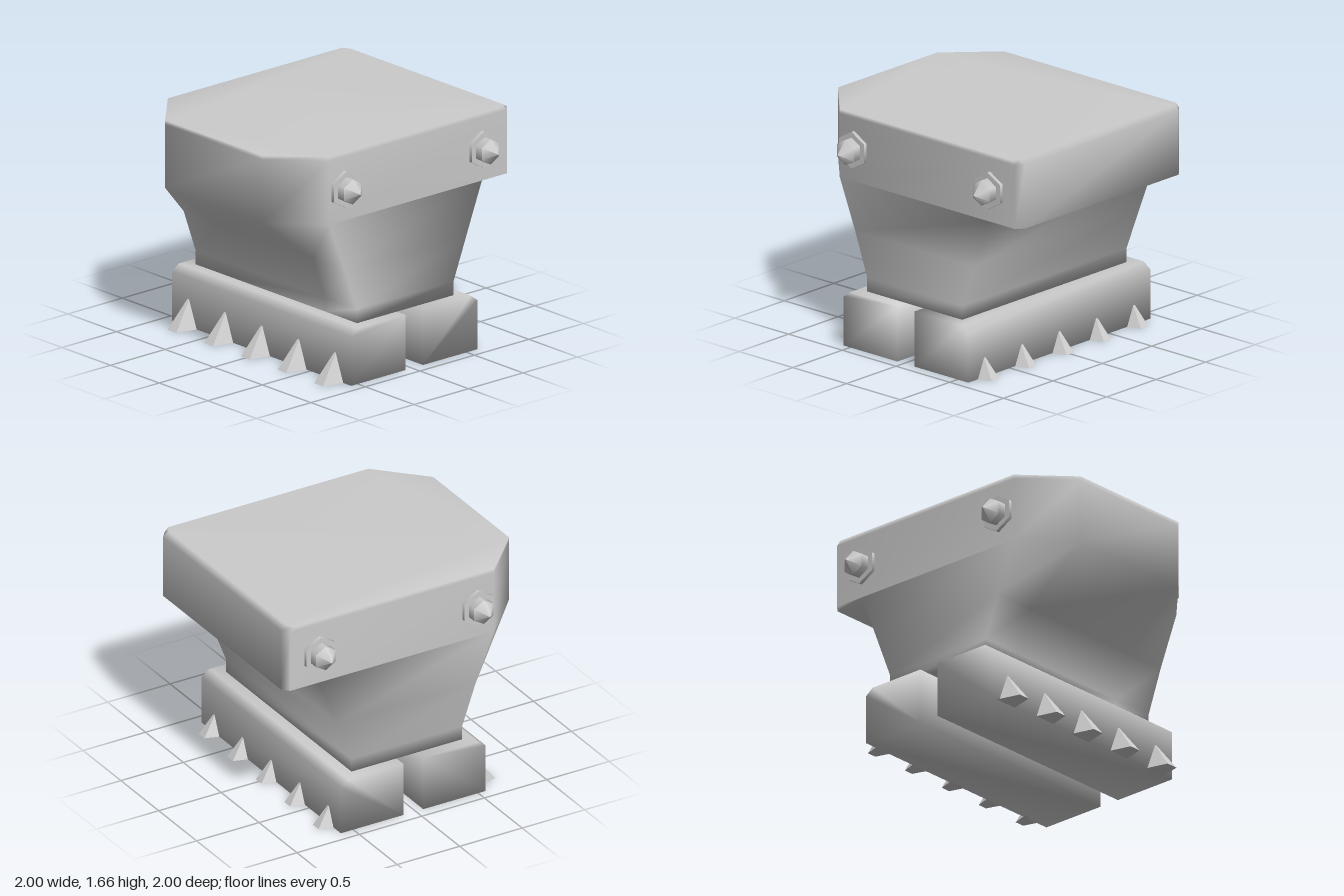
import * as THREE from 'three';
import { mergeVertices } from 'three/addons/utils/BufferGeometryUtils.js';
import { ConvexGeometry } from 'three/addons/geometries/ConvexGeometry.js';

const material = new THREE.MeshStandardMaterial({ color: 0xcccccc });

function addMesh(parent, name, geometry) {
  const mesh = new THREE.Mesh(geometry, material);
  mesh.name = name;
  parent.add(mesh);
  return mesh;
}

// share corners so that normals blend across the edges
function smooth(geometry) {
  geometry.deleteAttribute('normal');
  geometry.deleteAttribute('uv');
  const merged = mergeVertices(geometry, 1e-4);
  merged.computeVertexNormals();
  return merged;
}

// block lofted through eight-sided horizontal sections
function bodyGeometry() {
  // y, left x, left chamfer x, right chamfer x, right x
  const sections = [
    [0.4, -0.425, -0.425, 0.43, 0.46],
    [0.5, -0.425, -0.425, 0.43, 0.46],
    [0.81, -0.535, -0.535, 0.55, 0.58],
    [1.17, -1, -0.68, 0.69, 0.72],
    [1.17, -1, -0.68, 0.95, 0.995],
    [1.63, -1, -0.68, 0.95, 0.995],
    [1.66, -1, -0.68, 0.92, 0.95],
  ];
  const rings = sections.map(([y, xl, xc, xd, xr]) => {
    const zr = y < 1.17 || xr === 0.72 ? 0.83 : 0.775;
    const xf = zr === 0.83 ? xr : xd;
    return [[xl, -0.5], [xl, 0.5], [xc, 0.83], [xf, 0.83],
      [xr, zr], [xr, -zr], [xf, -0.83], [xc, -0.83]]
      .map(([x, z]) => new THREE.Vector3(x, y, z));
  });
  const positions = [];
  const triangle = new THREE.Triangle();
  const face = (a, b, c) => {
    if (triangle.set(a, b, c).getArea() < 1e-6) return;
    for (const p of [a, b, c]) positions.push(p.x, p.y, p.z);
  };
  for (let r = 0; r < rings.length - 1; r++) {
    for (let i = 0; i < 8; i++) {
      const j = (i + 1) % 8;
      face(rings[r][i], rings[r][j], rings[r + 1][j]);
      face(rings[r][i], rings[r + 1][j], rings[r + 1][i]);
    }
  }
  const top = rings[rings.length - 1];
  const bottom = rings[0];
  for (let i = 1; i < 7; i++) {
    face(top[0], top[i], top[i + 1]);
    face(bottom[0], bottom[i + 1], bottom[i]);
  }
  const geometry = new THREE.BufferGeometry();
  geometry.setAttribute('position', new THREE.Float32BufferAttribute(positions, 3));
  return smooth(geometry);
}

// long foot with a chamfered outer top edge
function footGeometry(inner, outer) {
  const side = Math.sign(outer);
  const shape = new THREE.Shape([
    new THREE.Vector2(inner, 0),
    new THREE.Vector2(outer, 0),
    new THREE.Vector2(outer, 0.355),
    new THREE.Vector2(outer - side * 0.06, 0.4),
    new THREE.Vector2(inner, 0.4),
  ]);
  const geometry = new THREE.ExtrudeGeometry(shape, { depth: 1.84, bevelEnabled: false });
  geometry.translate(0, 0, -0.92);
  return smooth(geometry);
}

// wedge-shaped tooth leaning against a foot
function toothGeometry(side, reach, height, halfWidth) {
  const points = [];
  for (const s of [-1, 1]) {
    points.push(
      new THREE.Vector3(-side * 0.02, 0, s * halfWidth),
      new THREE.Vector3(side * reach, 0, s * halfWidth * 0.5),
      new THREE.Vector3(0, height, s * 0.008),
      new THREE.Vector3(-side * 0.02, height, s * 0.008),
    );
  }
  return new ConvexGeometry(points);
}

// hexagonal flange, stem and pointed cap, facing +z
function createBolt() {
  const bolt = new THREE.Group();
  bolt.name = 'bolt';
  const part = (name, radiusTop, radius, from, to) => {
    const geometry = new THREE.CylinderGeometry(radiusTop, radius, to - from, 6);
    geometry.rotateX(Math.PI / 2).translate(0, 0, (from + to) / 2);
    addMesh(bolt, name, geometry);
  };
  part('boltFlange', 0.133, 0.133, 0.8, 0.857);
  part('boltStem', 0.091, 0.091, 0.84, 0.92);
  part('boltTip', 0, 0.091, 0.92, 1);
  return bolt;
}

export function createModel() {
  const model = new THREE.Group();
  model.name = 'clampBlock';
  addMesh(model, 'body', bodyGeometry());

  // feet with a row of teeth along each outer side
  const feet = [
    { inner: 0.1, outer: 0.6, reach: 0.1, height: 0.14, width: 0.075 },
    { inner: -0.06, outer: -0.56, reach: 0.15, height: 0.2, width: 0.09 },
  ];
  for (const { inner, outer, reach, height, width } of feet) {
    const side = Math.sign(outer);
    const name = side > 0 ? 'left' : 'right';
    addMesh(model, name + 'Foot', footGeometry(inner, outer));
    const tooth = toothGeometry(side, reach, height, width);
    for (let i = -2; i <= 2; i++) {
      addMesh(model, name + 'Tooth', tooth).position.set(outer, 0, i * 0.377);
    }
  }

  // two bolts on the front and two on the back
  for (const x of [-0.545, 0.72]) {
    for (const angle of [0, Math.PI]) {
      const bolt = createBolt();
      bolt.position.set(x, 1.4, 0);
      bolt.rotation.y = angle;
      model.add(bolt);
    }
  }
  return model;
}
